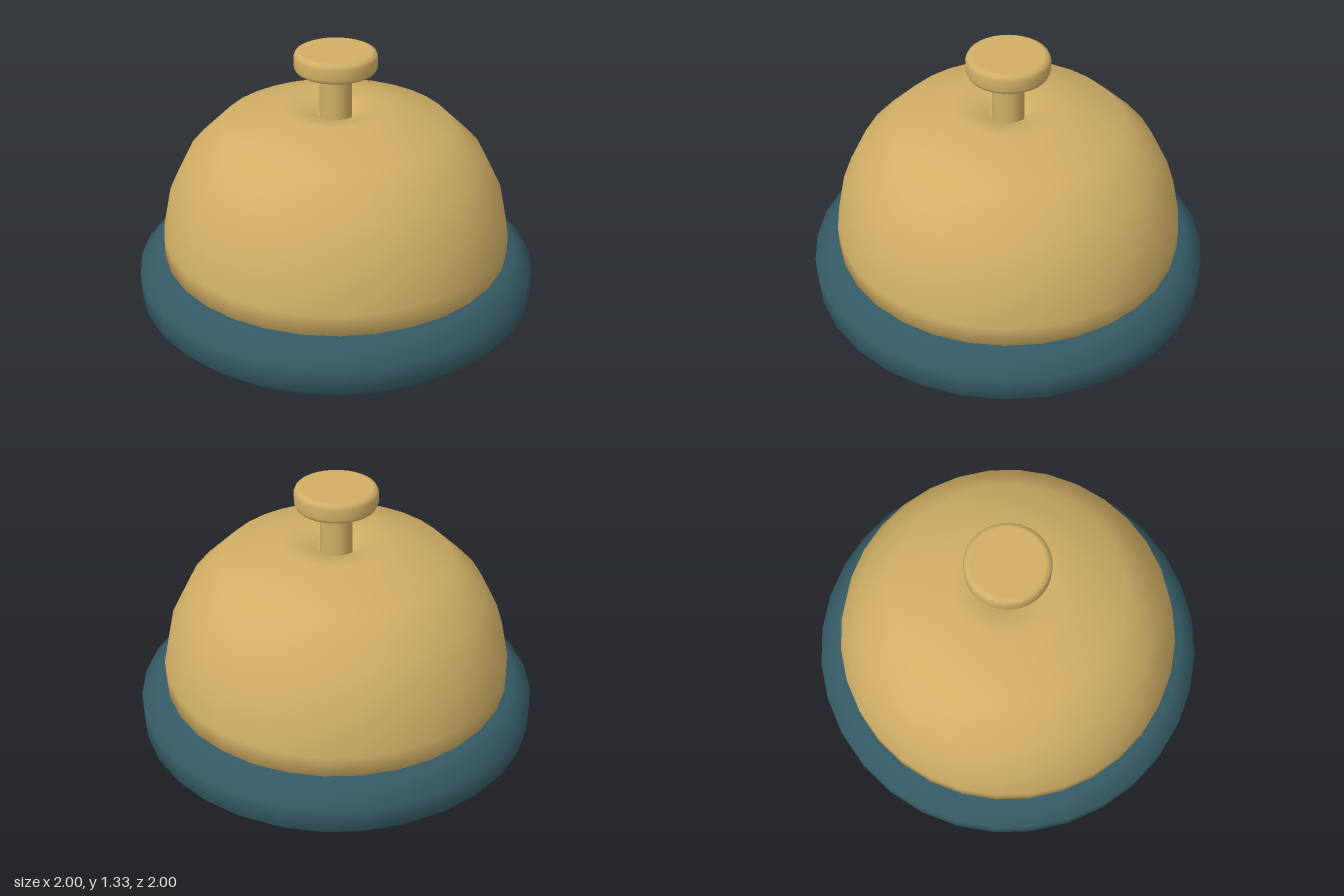
import * as THREE from 'three';

const SIDES = 32;

// Turned part from a profile of [radius, height], bottom to top
function turned(name, material, profile) {
  const points = profile.map(([r, y]) => new THREE.Vector2(r, y));
  const mesh = new THREE.Mesh(new THREE.LatheGeometry(points, SIDES), material);
  mesh.name = name;
  return mesh;
}

export function createModel() {
  const brass = new THREE.MeshStandardMaterial({ color: 0xd0ae65 });
  const teal = new THREE.MeshStandardMaterial({ color: 0x355a64 });
  const bell = new THREE.Group();
  bell.name = 'deskBell';

  // Bevelled base, flat below, with a small boss in a central recess
  bell.add(turned('base', teal, [
    [0, 0.005], [0.065, 0.005], [0.08, 0.02], [0.085, 0.065], [0.12, 0.09], [0.27, 0], [0.91, 0],
    [1, 0.09], [1, 0.22], [0.91, 0.305], [0.8, 0.305], [0, 0.305],
  ]));

  // Dome, dipping slightly around the plunger
  bell.add(turned('dome', brass, [
    [0.8, 0.295], [0.87, 0.3], [0.87, 0.41], [0.828, 0.605], [0.733, 0.795],
    [0.567, 0.957], [0.262, 1.053], [0.105, 1.018], [0.09, 0.98], [0, 0.98],
  ]));

  // Plunger stem
  const stem = new THREE.Mesh(new THREE.CylinderGeometry(0.078, 0.078, 0.27, SIDES), brass);
  stem.name = 'plungerStem';
  stem.position.y = 1.11;
  bell.add(stem);

  // Button with rounded edges and flat faces
  bell.add(turned('button', brass, [
    [0, 1.231], [0.17, 1.231], [0.178, 1.232], [0.193, 1.239], [0.201, 1.256],
    [0.201, 1.308], [0.193, 1.325], [0.178, 1.332], [0.17, 1.333], [0, 1.333],
  ]));

  return bell;
}
